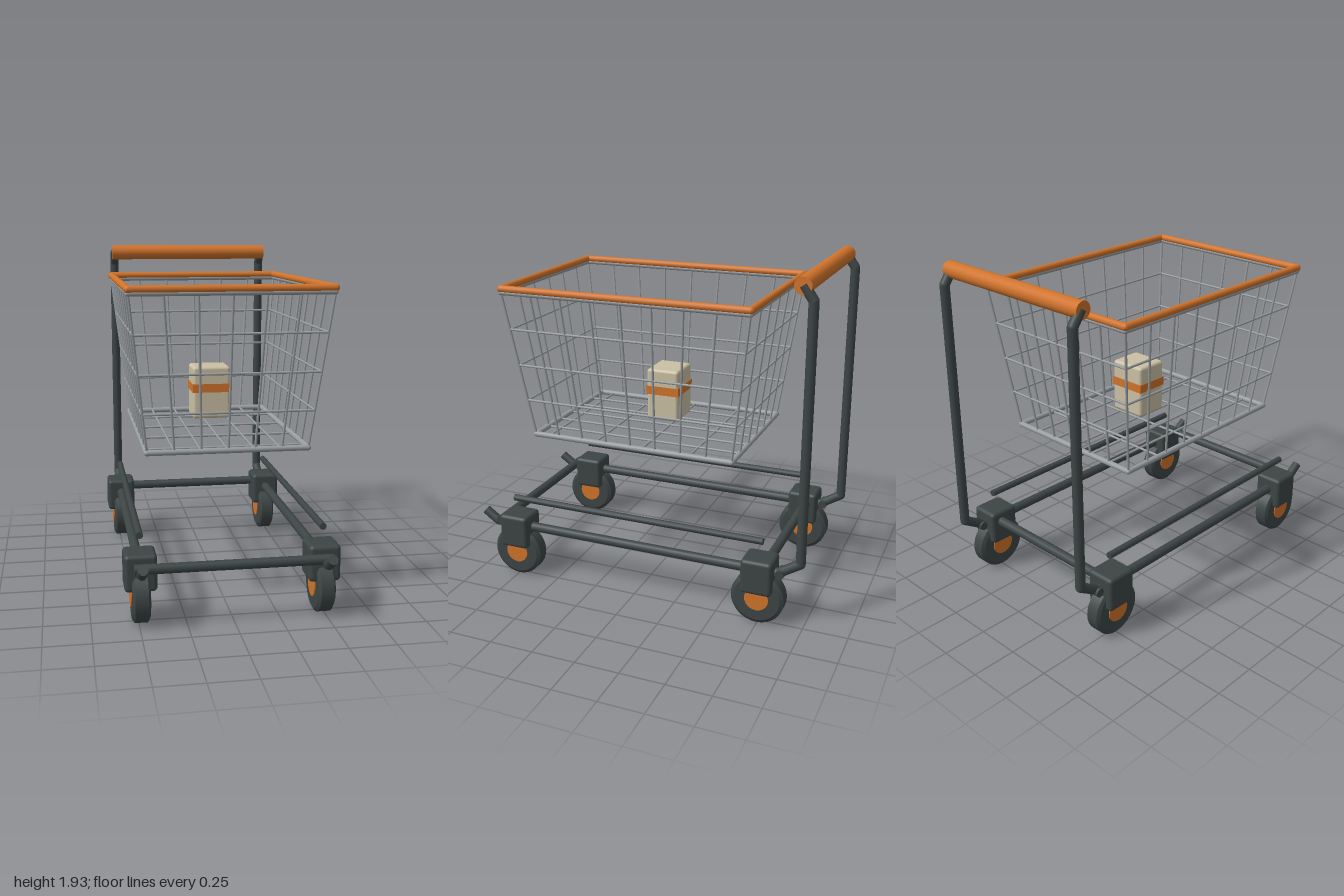
import * as THREE from 'three';
import { RoundedBoxGeometry } from 'three/addons/geometries/RoundedBoxGeometry.js';

const mat = (name, color) => {
  const m = new THREE.MeshStandardMaterial({ color });
  m.name = name;
  return m;
};

export function createModel() {
  const model = new THREE.Group();
  model.name = 'shoppingCart';
  const dark = mat('darkGrey', 0x3d4545);
  const orange = mat('orange', 0xd0732b);
  const steel = mat('steel', 0x979c9f);
  const cream = mat('cream', 0xcbc0a4);

  const group = (name) => {
    const g = new THREE.Group();
    g.name = name;
    model.add(g);
    return g;
  };
  const add = (parent, name, geo, material, x = 0, y = 0, z = 0) => {
    const m = new THREE.Mesh(geo, material);
    m.name = name;
    m.position.set(x, y, z);
    parent.add(m);
    return m;
  };
  // Capped round bar between two points
  const bar = (parent, name, a, b, r, material, sides = 12) => {
    const p = new THREE.Vector3(...a), q = new THREE.Vector3(...b);
    const dir = q.clone().sub(p);
    const m = add(parent, name, new THREE.CylinderGeometry(r, r, dir.length(), sides), material);
    m.position.copy(p).add(q).multiplyScalar(0.5);
    m.quaternion.setFromUnitVectors(new THREE.Vector3(0, 1, 0), dir.normalize());
    return m;
  };
  // Bent bar: straight pieces with ball joints
  const bentBar = (parent, name, pts, r, material, closed = false) => {
    const n = pts.length;
    for (let i = 0; i < (closed ? n : n - 1); i++) {
      bar(parent, name, pts[i], pts[(i + 1) % n], r, material, 16);
      if (closed || i > 0) add(parent, name + 'Joint', new THREE.SphereGeometry(r, 16, 10), material, ...pts[i]);
    }
  };

  // Chassis: side tubes that rise into the handle uprights
  const frame = group('frame');
  for (const s of [-1, 1]) {
    const x = 0.49 * s;
    bentBar(frame, 'sideTube', [
      [x, 0.365, 0.98], [x, 0.31, 0.9], [x, 0.31, -0.85],
      [x, 0.385, -0.97], [x, 1.81, -0.97], [x, 1.885, -0.917],
    ], 0.027, dark);
    bar(frame, 'lowerRackRail', [x, 0.48, 0.775], [x, 0.48, -0.76], 0.019, dark);
    bar(frame, 'rearPin', [x - 0.04, 0.315, -0.865], [x + 0.04, 0.315, -0.865], 0.025, dark);
  }
  bar(frame, 'frontCrossbar', [-0.525, 0.328, 0.865], [0.525, 0.328, 0.865], 0.027, dark, 16);
  bar(frame, 'rearCrossbar', [-0.525, 0.328, -0.77], [0.525, 0.328, -0.77], 0.027, dark, 16);
  bar(model, 'handle', [-0.508, 1.883, -0.917], [0.508, 1.883, -0.917], 0.046, orange, 24);

  // Casters
  const tyreGeo = new THREE.LatheGeometry([
    [0, -0.047], [0.13, -0.047], [0.13, -0.047], [0.15, -0.035], [0.15, -0.035],
    [0.15, 0.035], [0.15, 0.035], [0.13, 0.047], [0.13, 0.047], [0, 0.047],
  ].map(([r, h]) => new THREE.Vector2(r, h)), 32);
  const hubGeo = new THREE.CylinderGeometry(0.068, 0.068, 0.106, 24);
  const housingGeo = new RoundedBoxGeometry(0.172, 0.2, 0.178, 3, 0.022);
  for (const x of [-0.49, 0.49]) {
    for (const z of [0.75, -0.745]) {
      const caster = group('caster');
      caster.position.set(x, 0, z);
      add(caster, 'tyre', tyreGeo, dark, 0, 0.153, 0).rotation.z = Math.PI / 2;
      add(caster, 'hub', hubGeo, orange, 0, 0.153, 0).rotation.z = Math.PI / 2;
      add(caster, 'housing', housingGeo, dark, 0, 0.291, 0);
    }
  }

  // Basket: tapered wire cage, t = 0 at the floor and 1 at the rim
  const basket = group('basket');
  const lerp = THREE.MathUtils.lerp;
  const corners = (t, y = lerp(0.883, 1.723, t)) => {
    const x = lerp(0.435, 0.53, t), f = lerp(0.64, 0.768, t), b = lerp(-0.552, -0.665, t);
    return [[-x, y, f], [x, y, f], [x, y, b], [-x, y, b]];
  };
  const mix = (a, b, k) => a.map((v, i) => lerp(v, b[i], k));
  const low = corners(0), high = corners(1);
  bentBar(basket, 'floorFrame', low, 0.016, steel, true);
  bentBar(basket, 'rimFrame', high, 0.014, steel, true);
  bentBar(basket, 'rimTrim', corners(1, 1.744), 0.02, orange, true);
  const wire = (name, a, b) => bar(basket, name, a, b, 0.0068, steel, 8);
  for (const t of [0.25, 0.5, 0.75]) {
    const c = corners(t);
    c.forEach((p, i) => wire('wallWire', p, c[(i + 1) % 4]));
  }
  for (let i = 0; i < 4; i++) {
    const n = i % 2 ? 8 : 6, j = (i + 1) % 4;
    for (let k = 0; k < n; k++) {
      wire('uprightWire', mix(low[i], low[j], k / n), mix(high[i], high[j], k / n));
    }
  }
  for (let k = -2; k <= 2; k++) wire('floorWire', [k * 0.1435, 0.883, 0.64], [k * 0.1435, 0.883, -0.552]);
  for (const z of [-0.307, -0.02, 0.265, 0.555]) wire('floorWire', [-0.435, 0.883, z], [0.435, 0.883, z]);

  // Carton with a painted band
  const carton = group('carton');
  carton.position.set(0, 1.097, -0.015);
  add(carton, 'cartonBody', new RoundedBoxGeometry(0.22, 0.306, 0.194, 3, 0.018), cream);
  add(carton, 'cartonBand', new THREE.BoxGeometry(0.224, 0.05, 0.198), orange, 0, 0.027, 0);

  return model;
}
